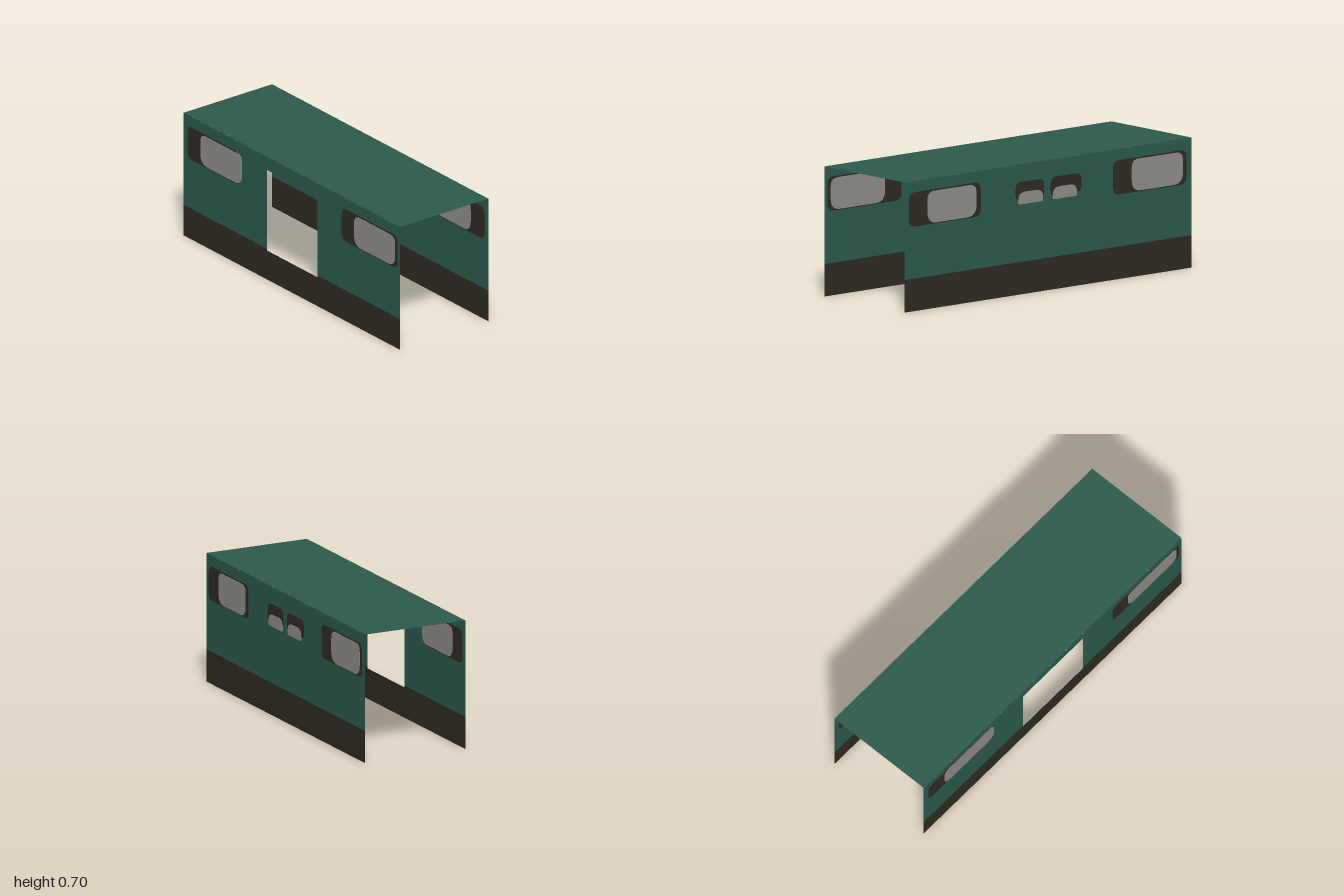
import * as THREE from 'three';

const HEIGHT = 0.7, STRIPE = 0.175;
const DOOR = { a: -0.275, b: 0.165, bottom: 0.165, top: 0.625 };

const flat = (name, color) => {
  const m = new THREE.MeshStandardMaterial({ color, side: THREE.DoubleSide });
  m.name = name;
  return m;
};

function polygon(points) {
  return new THREE.Shape(points.map(([x, y]) => new THREE.Vector2(x, y)));
}

// Rounded outline with separate bottom and top corner radii
function rounded(x0, x1, y0, y1, rb, rt) {
  const s = new THREE.Shape();
  s.moveTo(x0 + rb, y0);
  s.lineTo(x1 - rb, y0);
  s.quadraticCurveTo(x1, y0, x1, y0 + rb);
  s.lineTo(x1, y1 - rt);
  s.quadraticCurveTo(x1, y1, x1 - rt, y1);
  s.lineTo(x0 + rt, y1);
  s.quadraticCurveTo(x0, y1, x0, y1 - rt);
  s.lineTo(x0, y0 + rb);
  s.quadraticCurveTo(x0, y0, x0 + rb, y0);
  return s;
}

export function createModel() {
  const green = flat('green paint', 0x2b594c);
  const dark = flat('dark brown', 0x2e2a22);
  const grey = flat('window grey', 0x8f8c86);

  const model = new THREE.Group();
  model.name = 'carriageShell';

  const add = (parent, name, geometry, material) => {
    const mesh = new THREE.Mesh(geometry, material);
    mesh.name = name;
    parent.add(mesh);
    return mesh;
  };

  // Thin plate centred on the wall, so it shows inside and outside
  const plate = (parent, name, shape, depth, material) => {
    const g = new THREE.ExtrudeGeometry(shape, { depth, bevelEnabled: false, curveSegments: 6 });
    g.translate(0, 0, -depth / 2);
    add(parent, name, g, material);
  };

  // Wall: its local x is the distance along z, laid along the slanted side
  const makeWall = (name, x, z0, z1, door) => {
    const wall = new THREE.Group();
    wall.name = name;
    wall.position.x = x;
    wall.rotation.y = Math.atan2(-1.885, -0.52);
    wall.scale.x = Math.hypot(1.885, 0.52) / 1.885;
    const { a, b, bottom, top } = DOOR;
    const upper = [[z0, STRIPE]];
    if (door) upper.push([a, STRIPE], [a, top], [b, top], [b, STRIPE]);
    upper.push([z1, STRIPE], [z1, HEIGHT], [z0, HEIGHT]);
    const lower = [[z0, 0], [z1, 0], [z1, STRIPE]];
    if (door) lower.push([b, STRIPE], [b, bottom], [a, bottom], [a, STRIPE]);
    lower.push([z0, STRIPE]);
    add(wall, 'upperPanel', new THREE.ShapeGeometry(polygon(upper)), green);
    add(wall, 'lowerBand', new THREE.ShapeGeometry(polygon(lower)), dark);
    model.add(wall);
    return wall;
  };

  const bigWindow = (wall, d0, d1, g0, g1) => {
    plate(wall, 'windowSurround', rounded(d0, d1, 0.455, 0.64, 0.04, 0.04), 0.004, dark);
    plate(wall, 'windowPane', rounded(g0, g1, 0.46, 0.632, 0.06, 0.045), 0.008, grey);
  };
  const smallWindow = (wall, d0, d1, g0, g1) => {
    plate(wall, 'smallWindowSurround', rounded(d0, d1, 0.505, 0.605, 0.03, 0.035), 0.004, dark);
    plate(wall, 'smallWindowPane', rounded(g0, g1, 0.485, 0.55, 0.012, 0.045), 0.008, grey);
  };

  // Plain wall on the +x side
  const plain = makeWall('plainWall', 0.316, -0.885, 1, false);
  bigWindow(plain, 0.5, 0.97, 0.53, 0.85);
  bigWindow(plain, -0.85, -0.37, -0.825, -0.49);
  smallWindow(plain, 0.085, 0.27, 0.092, 0.255);
  smallWindow(plain, -0.16, 0.04, -0.13, 0.028);

  // Wall with the doorway on the -x side
  const doorWall = makeWall('doorWall', -0.316, -1, 0.885, true);
  bigWindow(doorWall, 0.38, 0.865, 0.49, 0.845);
  bigWindow(doorWall, -0.965, -0.51, -0.85, -0.49);

  // Flat roof
  const roof = polygon([[-0.56, -0.885], [0.04, -1], [0.56, 0.885], [-0.04, 1]]);
  const top = add(model, 'roof', new THREE.ShapeGeometry(roof).rotateX(-Math.PI / 2), green);
  top.position.y = HEIGHT;

  return model;
}
